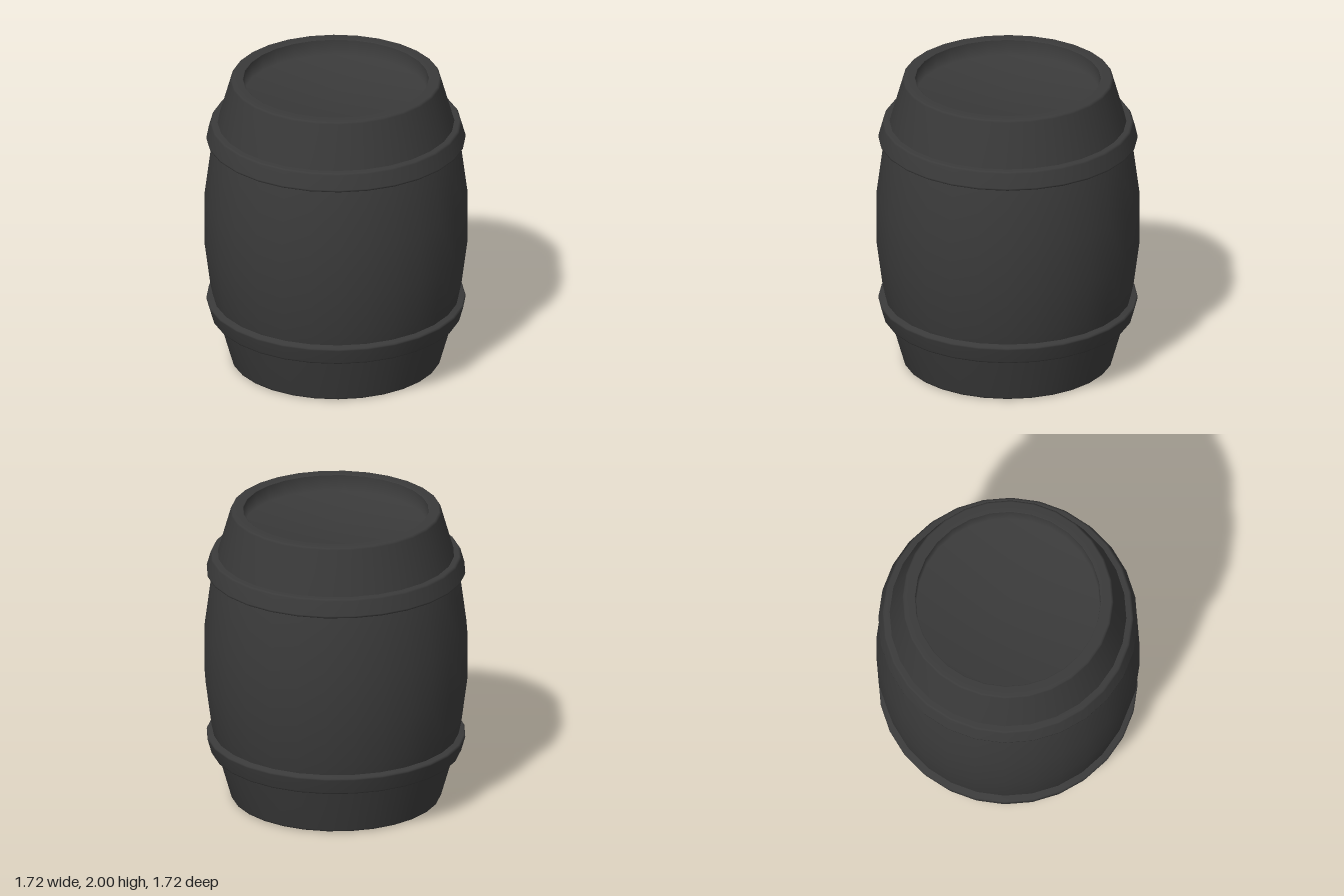
import * as THREE from 'three';
import { mergeVertices } from 'three/addons/utils/BufferGeometryUtils.js';

const SIDES = 28;
const material = new THREE.MeshStandardMaterial({ color: 0x3a3a3a });

// Revolve a profile of [radius, height] pairs, with area-weighted smooth normals
function turned(name, profile) {
  const points = profile.map(([r, y]) => new THREE.Vector2(r, y));
  const lathe = new THREE.LatheGeometry(points, SIDES);
  lathe.deleteAttribute('normal');
  lathe.deleteAttribute('uv');
  const geometry = mergeVertices(lathe);
  geometry.computeVertexNormals();
  const mesh = new THREE.Mesh(geometry, material);
  mesh.name = name;
  return mesh;
}

// The same profile turned upside down about a given height
const flipped = (profile, middle) => profile.map(([r, y]) => [r, 2 * middle - y]).reverse();

export function createModel() {
  const group = new THREE.Group();
  group.name = 'barrel';

  // Lower half of the body: rounded rim and bulging staves
  const lower = [
    [0.607, 0.004], [0.613, 0], [0.675, 0], [0.685, 0.004], [0.69, 0.015],
    [0.777, 0.32], [0.822, 0.53], [0.861, 0.83],
  ];
  group.add(turned('body', [...lower, ...flipped(lower, 1)]));

  // Heads: discs sunk below the rims, blending into the recess wall
  const head = [[0, 0.11], [0.6, 0.11], [0.607, 0.004]];
  group.add(turned('bottomHead', head), turned('topHead', flipped(head, 1)));

  // Hoops: bevelled bands that flare towards the middle of the barrel
  const hoop = [
    [0.75, 0.316], [0.805, 0.316], [0.815, 0.319], [0.821, 0.329],
    [0.848, 0.424], [0.847, 0.434], [0.839, 0.44], [0.76, 0.456],
  ];
  group.add(turned('lowerHoop', hoop), turned('upperHoop', flipped(hoop, 1.003)));

  return group;
}
